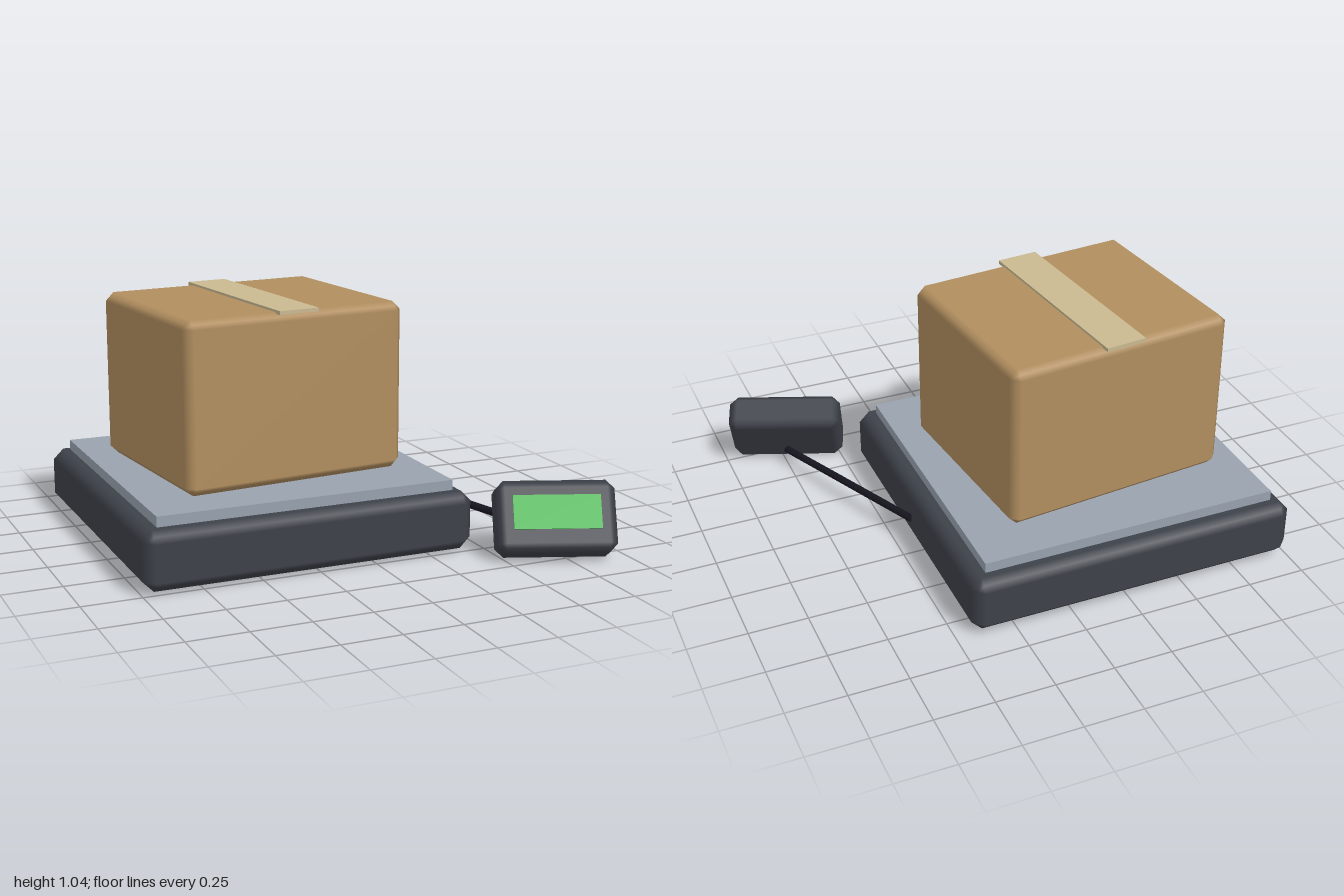
import * as THREE from 'three';

// Box with single flat chamfers and softened shading across the edges
function chamferBox(w, h, d, r) {
  const geo = new THREE.BoxGeometry(1, 1, 1, 3, 3, 3);
  const pos = geo.attributes.position, nor = geo.attributes.normal;
  const core = new THREE.Vector3(w / 2 - r, h / 2 - r, d / 2 - r);
  const p = new THREE.Vector3(), dir = new THREE.Vector3();
  for (let i = 0; i < pos.count; i++) {
    p.fromBufferAttribute(pos, i);
    dir.set(...p.toArray().map((c) => (Math.abs(c) > 0.4 ? Math.sign(c) : 0)));
    const n = dir.lengthSq(); // 1 on a face, 2 on an edge, 3 on a corner
    p.set(Math.sign(p.x), Math.sign(p.y), Math.sign(p.z)).multiply(core).addScaledVector(dir, r / n);
    pos.setXYZ(i, p.x, p.y, p.z);
    dir.normalize();
    nor.setXYZ(i, dir.x, dir.y, dir.z);
  }
  return geo;
}

function addPart(parent, name, geometry, color, x, y, z) {
  const mesh = new THREE.Mesh(geometry, new THREE.MeshStandardMaterial({ color }));
  mesh.name = name;
  mesh.position.set(x, y, z);
  parent.add(mesh);
  return mesh;
}

export function createModel() {
  const model = new THREE.Group();
  model.name = 'parcelScale';
  const DARK = 0x3d4149;
  const cx = -0.283, cz = -0.177;

  // Scale body and weighing plate
  addPart(model, 'scaleBase', chamferBox(1.434, 0.25, 1.434, 0.046), DARK, cx, 0.141, cz);
  addPart(model, 'weighingPlate', new THREE.BoxGeometry(1.29, 0.06, 1.29), 0x98a2ae, cx, 0.28, cz);

  // Parcel, turned slightly on the plate, with a strip of tape
  const parcel = new THREE.Group();
  parcel.name = 'parcel';
  parcel.position.set(cx, 0.31, cz);
  parcel.rotation.y = 0.1;
  model.add(parcel);
  addPart(parcel, 'carton', chamferBox(1.004, 0.718, 0.864, 0.036), 0xb18e5f, 0, 0.359, 0);
  addPart(parcel, 'tape', new THREE.BoxGeometry(0.178, 0.016, 0.878), 0xc9b991, 0, 0.72, 0);

  // Display unit, turned outward and leaning back
  const display = new THREE.Group();
  display.name = 'displayUnit';
  display.position.set(0.724, 0.158, 0.69);
  display.rotation.set(-0.5, -0.37, 0, 'YXZ');
  model.add(display);
  addPart(display, 'displayHousing', chamferBox(0.5, 0.305, 0.17, 0.036), DARK, 0, 0, 0);
  addPart(display, 'screen', new THREE.BoxGeometry(0.365, 0.143, 0.014), 0x47bd52, 0, 0.012, 0.084);

  // Straight cable from the base side to the back of the display
  const from = new THREE.Vector3(0.438, 0.126, -0.178);
  const to = new THREE.Vector3(0.75, 0.08, 0.615);
  const span = to.clone().sub(from);
  const cable = addPart(model, 'cable', new THREE.CylinderGeometry(0.017, 0.017, span.length(), 8),
    0x17151f, ...from.clone().add(to).multiplyScalar(0.5).toArray());
  cable.quaternion.setFromUnitVectors(new THREE.Vector3(0, 1, 0), span.normalize());

  return model;
}
